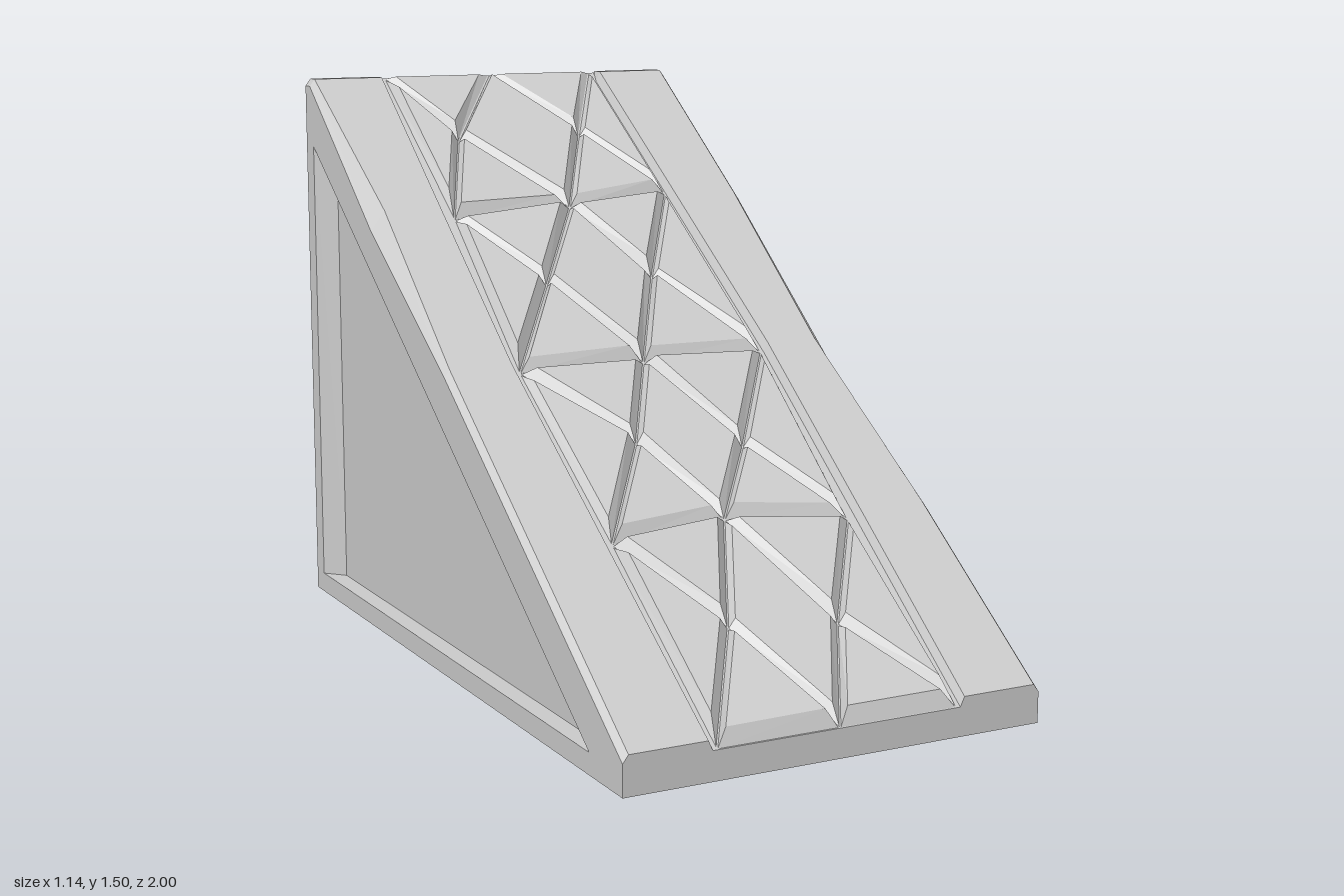
import * as THREE from 'three';

const material = new THREE.MeshStandardMaterial({ color: 0xcccccc, flatShading: true });
const HALF = 0.57, PANEL = 0.52;
const floorY = z => 0.785 - 0.71 * z;                               // bottom of the grooves
const kerbY = z => Math.min(1.5, 0.1 + 0.7125 * (1 - z));           // top of the side kerbs

// Turns a list of polygons (each fanned from its first corner) into a flat-shaded mesh.
function polyMesh(name, polys) {
  const pos = [];
  for (const p of polys)
    for (let i = 1; i < p.length - 1; i++) pos.push(...p[0], ...p[i], ...p[i + 1]);
  const g = new THREE.BufferGeometry();
  g.setAttribute('position', new THREE.Float32BufferAttribute(pos, 3));
  g.computeVertexNormals();
  const mesh = new THREE.Mesh(g, material);
  mesh.name = name;
  return mesh;
}

// Solid wedge under the tiles; its ends are the recessed side panels.
function makeCore() {
  const shape = new THREE.Shape([[-1, 0], [1, 0], [1, floorY(-1)], [-1, floorY(1)]]
    .map(p => new THREE.Vector2(...p)));
  const g = new THREE.ExtrudeGeometry(shape, { depth: 2 * PANEL, bevelEnabled: false });
  g.translate(0, 0, -PANEL).rotateY(Math.PI / 2);
  const mesh = new THREE.Mesh(g, material);
  mesh.name = 'wedgeCore';
  return mesh;
}

// Kerb and framed side wall; s = 1 for the left, -1 for the right. chipZ is where its edge is chipped.
function makeSide(s, chipZ) {
  const polys = [];
  const stations = [[1, 0.335], [0.5, 0.35], [0, 0.365], [-0.5, 0.35], [-0.965, 0.335], [-1, 0.335]];
  const sections = stations.map(([z, inner]) => {
    const chipped = z === chipZ, top = kerbY(z);
    return [
      [inner, floorY(z) - 0.01, z],
      [inner + 0.016, top, z],
      [chipped ? 0.53 : 0.555, top, z],
      [HALF, top - (chipped ? 0.055 : 0.02), z],
    ];
  });
  // top surfaces, lofted along the slope
  for (let i = 0; i < sections.length - 1; i++)
    for (let j = 0; j < 3; j++)
      polys.push([sections[i][j], sections[i][j + 1], sections[i + 1][j + 1], sections[i + 1][j]]);
  // front and back ends, underside
  const end = sec => [[sec[0][0], 0, sec[0][2]], [HALF, 0, sec[0][2]], ...[...sec].reverse()];
  polys.push(end(sections[0]), end(sections[sections.length - 1]).reverse());
  polys.push([[PANEL, 0, -1], [HALF, 0, -1], [HALF, 0, 1], [PANEL, 0, 1]]);
  // side face with a triangular opening
  const outline = [[-1, 0], [1, 0], ...sections.map(c => [-c[3][2], c[3][1]]).reverse()];
  const outer = [[-0.83, 0.055], [0.945, 0.055], [0.945, 1.31]];
  const inner = [[-0.73, 0.055], [0.89, 0.055], [0.89, 1.2]];
  const hole = [...outer].reverse();
  const all = [...outline, ...hole].map(([u, v]) => [HALF, v, -u]);
  const v2 = a => a.map(p => new THREE.Vector2(...p));
  for (const f of THREE.ShapeUtils.triangulateShape(v2(outline), [v2(hole)]))
    polys.push(f.map(i => all[i]));
  // sloping walls of the recess
  const at = (p, x) => [x, p[1], -p[0]];
  for (let i = 0; i < 3; i++) {
    const k = (i + 1) % 3;
    polys.push([at(outer[i], HALF), at(outer[k], HALF), at(inner[k], PANEL), at(inner[i], PANEL)]);
  }
  const placed = s > 0 ? polys
    : polys.map(p => p.map(([x, y, z]) => [-x, y, z]).reverse());
  return polyMesh(s > 0 ? 'leftSide' : 'rightSide', placed);
}

// Moves every edge of a convex outline (x, z) inward by d.
function inset(pts, d) {
  const n = pts.length;
  const normal = i => {
    const [ax, az] = pts[i], [bx, bz] = pts[(i + 1) % n], len = Math.hypot(bx - ax, bz - az);
    return [(bz - az) / len, (ax - bx) / len];
  };
  return pts.map(([x, z], i) => {
    const a = normal((i + n - 1) % n), b = normal(i);
    const k = d / (1 + a[0] * b[0] + a[1] * b[1]);
    return [x + (a[0] + b[0]) * k, z + (a[1] + b[1]) * k];
  });
}

// One bevelled stone tile lying on the slope, with a slightly uneven top.
function makeTile(outline, random) {
  let area = 0;
  outline.forEach(([x, z], i) => {
    const [x2, z2] = outline[(i + 1) % outline.length];
    area += z * x2 - x * z2;
  });
  // counter-clockwise seen from above
  const pts = area < 0 ? [...outline].reverse() : outline;
  const base = inset(pts, 0.002).map(([x, z]) => [x, floorY(z), z]);
  const cap = inset(pts, 0.018).map(([x, z]) =>
    [x, Math.min(1.5, floorY(z) + 0.022 + 0.014 * random()), z]);
  const polys = [cap];
  base.forEach((b, i) => {
    const k = (i + 1) % base.length;
    polys.push([b, base[k], cap[k], cap[i]]);
  });
  return polyMesh('tile', polys);
}

// Four rows of triangular and diamond tiles between the kerbs.
function makeTiles() {
  const group = new THREE.Group();
  group.name = 'slopeTiles';
  let seed = 7;
  const random = () => (seed = (seed * 16807) % 2147483647) / 2147483647;
  const right = [[-0.33, -1], [-0.33, -0.49], [-0.36, 0], [-0.34, 0.49], [-0.33, 1]];
  const middle = [[0, -1], [0.03, -0.51], [0, 0], [-0.01, 0.46], [0, 1]];
  const left = [[0.33, -1], [0.35, -0.54], [0.36, 0], [0.33, 0.5], [0.33, 1]];
  const rightHub = [[-0.2, -0.76], [-0.16, -0.26], [-0.14, 0.23], [-0.15, 0.73]];
  const leftHub = [[0.18, -0.76], [0.16, -0.26], [0.15, 0.27], [0.14, 0.76]];
  for (let i = 0; i < 4; i++) {
    for (const [edge, hub] of [[right, rightHub], [left, leftHub]]) {
      group.add(makeTile([edge[i], hub[i], middle[i]], random));
      group.add(makeTile([edge[i], hub[i], edge[i + 1]], random));
      group.add(makeTile([edge[i + 1], hub[i], middle[i + 1]], random));
    }
    group.add(makeTile([middle[i], leftHub[i], middle[i + 1], rightHub[i]], random));
  }
  return group;
}

export function createModel() {
  const model = new THREE.Group();
  model.name = 'stoneRamp';
  model.add(makeCore(), makeSide(1, 0), makeSide(-1, -0.5), makeTiles());
  return model;
}
